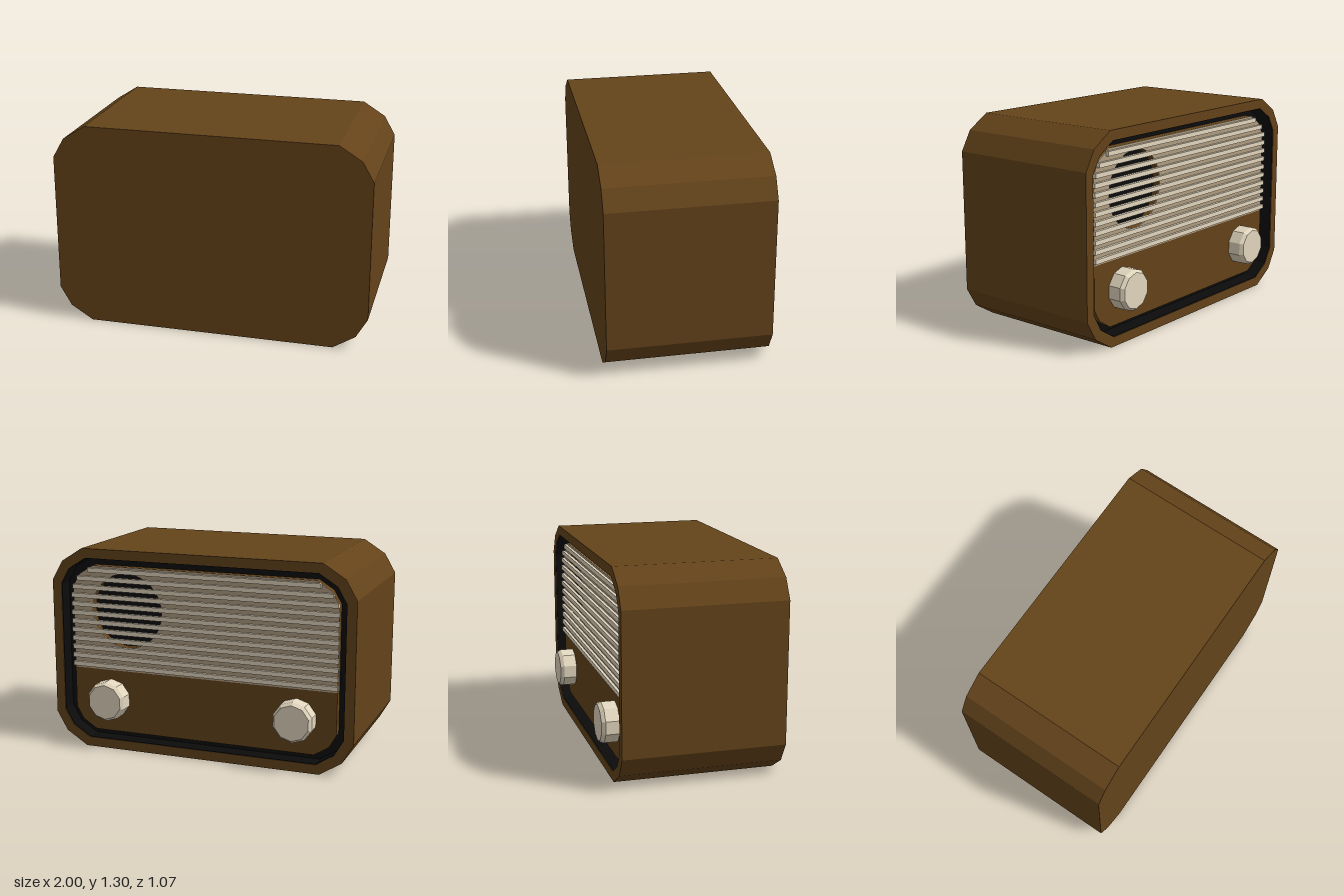
import * as THREE from 'three';

const H = 1.305; // cabinet height
const BACK = 0.533, FACE = -0.475, FLOOR = -0.37, PANEL = -0.425;

const mat = (color) => new THREE.MeshStandardMaterial({ color, flatShading: true });
const wood = mat(0x64431a), dark = mat(0x0c0c0c), cloth = mat(0xb09c80), cream = mat(0xe2d6be);

// Rectangle with two-facet corners, from y0 to y1; corner sizes for bottom and top
function outline(hw, y0, y1, cBottom, cTop = cBottom) {
  const right = [];
  if (cBottom) right.push([hw - cBottom, y0], [hw - cBottom / 3, y0 + cBottom * 0.42], [hw, y0 + cBottom]);
  else right.push([hw, y0]);
  if (cTop) right.push([hw, y1 - cTop], [hw - cTop / 3, y1 - cTop * 0.42], [hw - cTop, y1]);
  else right.push([hw, y1]);
  const left = right.map(([x, y]) => [-x, y]).reverse();
  return [...right, ...left].map(([x, y]) => new THREE.Vector2(x, y));
}

const inset = (d, corner) => outline(1 - d, d, H - d, corner);

// Flat slab between two depths, with optional hole
function slab(name, points, z0, z1, material, hole) {
  const shape = new THREE.Shape(points);
  if (hole) shape.holes.push(hole);
  const geo = new THREE.ExtrudeGeometry(shape, { depth: z1 - z0, bevelEnabled: false, curveSegments: 16 });
  geo.translate(0, 0, z0);
  const mesh = new THREE.Mesh(geo, material);
  mesh.name = name;
  return mesh;
}

export function createModel() {
  const model = new THREE.Group();
  model.name = 'tableRadio';

  // Cabinet with a raised rim around the dark recess
  model.add(slab('cabinet', inset(0, 0.212), FLOOR, BACK, wood));
  model.add(slab('rim', inset(0, 0.212), FACE, FLOOR, wood, new THREE.Path(inset(0.06, 0.175))));
  model.add(slab('recessLining', inset(0.059, 0.176), FACE + 0.004, FLOOR, dark,
    new THREE.Path(inset(0.064, 0.172))));
  model.add(slab('recessFloor', inset(0.06, 0.175), FLOOR - 0.004, FLOOR, dark));

  // Face: lower control panel and upper speaker cloth with a round opening
  const hw = 0.88, bottom = 0.105, split = 0.513, top = 1.19, corner = 0.14;
  model.add(slab('controlPanel', outline(hw, bottom, split, corner, 0), PANEL, FLOOR - 0.004, wood));
  const opening = () => new THREE.Path().absarc(0.505, 0.91, 0.24, 0, Math.PI * 2, true);
  model.add(slab('speakerCloth', outline(hw, split, top, 0, corner), PANEL, PANEL + 0.006, cloth, opening()));
  model.add(slab('speakerBoard', outline(hw, split, top, 0, corner), PANEL + 0.006, FLOOR - 0.004, wood, opening()));

  // Horizontal grille bars, shortened where the top corners curve in
  const grille = new THREE.Group();
  grille.name = 'grille';
  const count = 12, pitch = (top - split) / count;
  for (let i = 0; i < count; i++) {
    const y = split + pitch * (i + 0.5);
    const t = Math.max(0, (y + pitch / 4 - (top - corner)) / corner);
    const cut = t < 0.58 ? t * 0.57 : 0.33 + (t - 0.58) * 1.59;
    const bar = new THREE.Mesh(new THREE.BoxGeometry(2 * (hw + 0.006 - cut * corner), pitch * 0.5, 0.022), cream);
    bar.name = 'grilleBar';
    bar.position.set(0, y, PANEL - 0.007);
    grille.add(bar);
  }
  model.add(grille);

  // Two ten-sided knobs with bevelled fronts
  const profile = [[0, 0], [0.13, 0], [0.13, 0.085], [0.113, 0.108], [0, 0.108]]
    .map(([r, h]) => new THREE.Vector2(r, h));
  for (const side of [-1, 1]) {
    const knob = new THREE.Mesh(new THREE.LatheGeometry(profile, 10), cream);
    knob.name = side > 0 ? 'leftKnob' : 'rightKnob';
    knob.rotation.x = -Math.PI / 2;
    knob.position.set(side * 0.625, 0.325, PANEL);
    model.add(knob);
  }
  return model;
}
